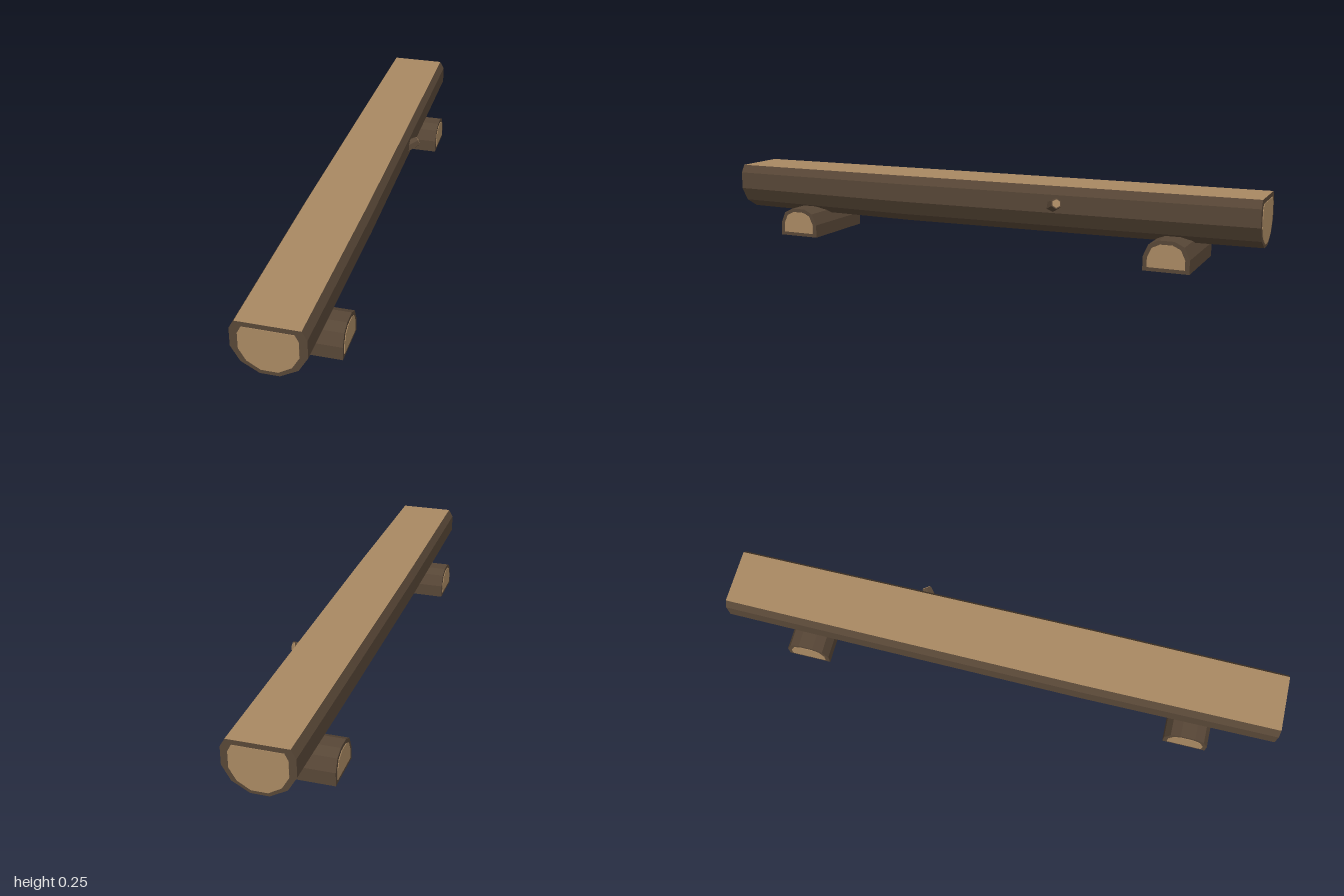
import * as THREE from 'three';

const bark = new THREE.MeshStandardMaterial({ color: 0x574636, flatShading: true });
bark.name = 'bark';
const wood = new THREE.MeshStandardMaterial({ color: 0xa88862, flatShading: true });
wood.name = 'cut wood';

// Mirror a right-hand half profile (bottom to top) into a closed counter-clockwise loop
const mirror = (half) => [...half, ...half.slice().reverse().map(([x, y]) => [-x, y])];

// Skin between cross-sections; the edge numbered cutEdge is sawn flat (material 1)
function loft(sections, cutEdge = -1) {
  const pos = [[], []];
  for (let s = 0; s < sections.length - 1; s++) {
    const n = sections[s].pts.length;
    for (let i = 0; i < n; i++) {
      const j = (i + 1) % n;
      const at = (k, q) => [...sections[k].pts[q], sections[k].z];
      const a = at(s, i), b = at(s, j), c = at(s + 1, j), d = at(s + 1, i);
      pos[i === cutEdge ? 1 : 0].push(...a, ...b, ...c, ...a, ...c, ...d);
    }
  }
  const geo = new THREE.BufferGeometry();
  geo.setAttribute('position', new THREE.Float32BufferAttribute([...pos[0], ...pos[1]], 3));
  geo.addGroup(0, pos[0].length / 3, 0);
  if (pos[1].length) geo.addGroup(pos[0].length / 3, pos[1].length / 3, 1);
  geo.computeVertexNormals();
  return geo;
}

function add(parent, name, geo, mat) {
  const mesh = new THREE.Mesh(geo, mat);
  mesh.name = name;
  parent.add(mesh);
  return mesh;
}

// Bark rim and thin pale plate closing one end (dir = +1 or -1 along z)
function addEnd(parent, name, outer, inner, z, dir) {
  const shape = (pts) => new THREE.Shape(pts.map(([x, y]) => new THREE.Vector2(x, y)));
  const end = new THREE.Group();
  end.name = name;
  add(end, 'barkRim', new THREE.ShapeGeometry(shape(outer)), bark);
  add(end, 'cutFace', new THREE.ExtrudeGeometry(shape(inner), { depth: 0.002, bevelEnabled: false }), wood);
  end.position.z = z * dir;
  if (dir < 0) end.rotation.y = Math.PI; // profiles are symmetric in x
  parent.add(end);
}

export function createModel() {
  const model = new THREE.Group();
  model.name = 'logBench';

  // Seat log, slightly swollen toward the front third
  const log = new THREE.Group();
  log.name = 'seatLog';
  const half = [[0.031, 0.073], [0.09, 0.106], [0.12, 0.157], [0.12, 0.221], [0.103, 0.25]];
  const scaled = (k) => mirror(half.map(([x, y]) => [x * k, 0.25 - (0.25 - y) * k]));
  const sections = [[-0.998, 0.95], [-0.45, 0.975], [0.3, 1], [0.998, 0.965]]
    .map(([z, k]) => ({ z, pts: scaled(k) }));
  add(log, 'logSides', loft(sections, half.length - 1), [bark, wood]);
  const face = mirror([[0.026, 0.093], [0.068, 0.118], [0.091, 0.157], [0.091, 0.211], [0.079, 0.234]]);
  addEnd(log, 'frontEnd', scaled(0.965), face, 0.998, 1);
  addEnd(log, 'backEnd', scaled(0.95), face, 0.998, -1);
  model.add(log);

  // Two half-round cross supports
  const outer = mirror([[0.078, 0], [0.078, 0.047], [0.06, 0.088], [0.026, 0.104]]);
  const inner = mirror([[0.063, 0.013], [0.063, 0.046], [0.048, 0.078], [0.021, 0.091]]);
  for (const [name, z] of [['frontSupport', 0.71], ['backSupport', -0.71]]) {
    const support = new THREE.Group();
    support.name = name;
    add(support, 'supportSides', loft([{ z: -0.156, pts: outer }, { z: 0.156, pts: outer }]), [bark]);
    addEnd(support, 'leftEnd', outer, inner, 0.156, 1);
    addEnd(support, 'rightEnd', outer, inner, 0.156, -1);
    support.rotation.y = Math.PI / 2;
    support.position.z = z;
    model.add(support);
  }

  // Cut branch stub on the left side, leaning up and back
  const stub = new THREE.Group();
  stub.name = 'branchStub';
  add(stub, 'stubBark', new THREE.CylinderGeometry(0.019, 0.025, 0.07, 6), bark);
  add(stub, 'stubCut', new THREE.CylinderGeometry(0.015, 0.015, 0.002, 6), wood).position.y = 0.036;
  const dir = new THREE.Vector3(0.75, 0.3, -0.55).normalize();
  stub.quaternion.setFromUnitVectors(new THREE.Vector3(0, 1, 0), dir);
  stub.position.set(0.115, 0.186, -0.305);
  model.add(stub);

  return model;
}
